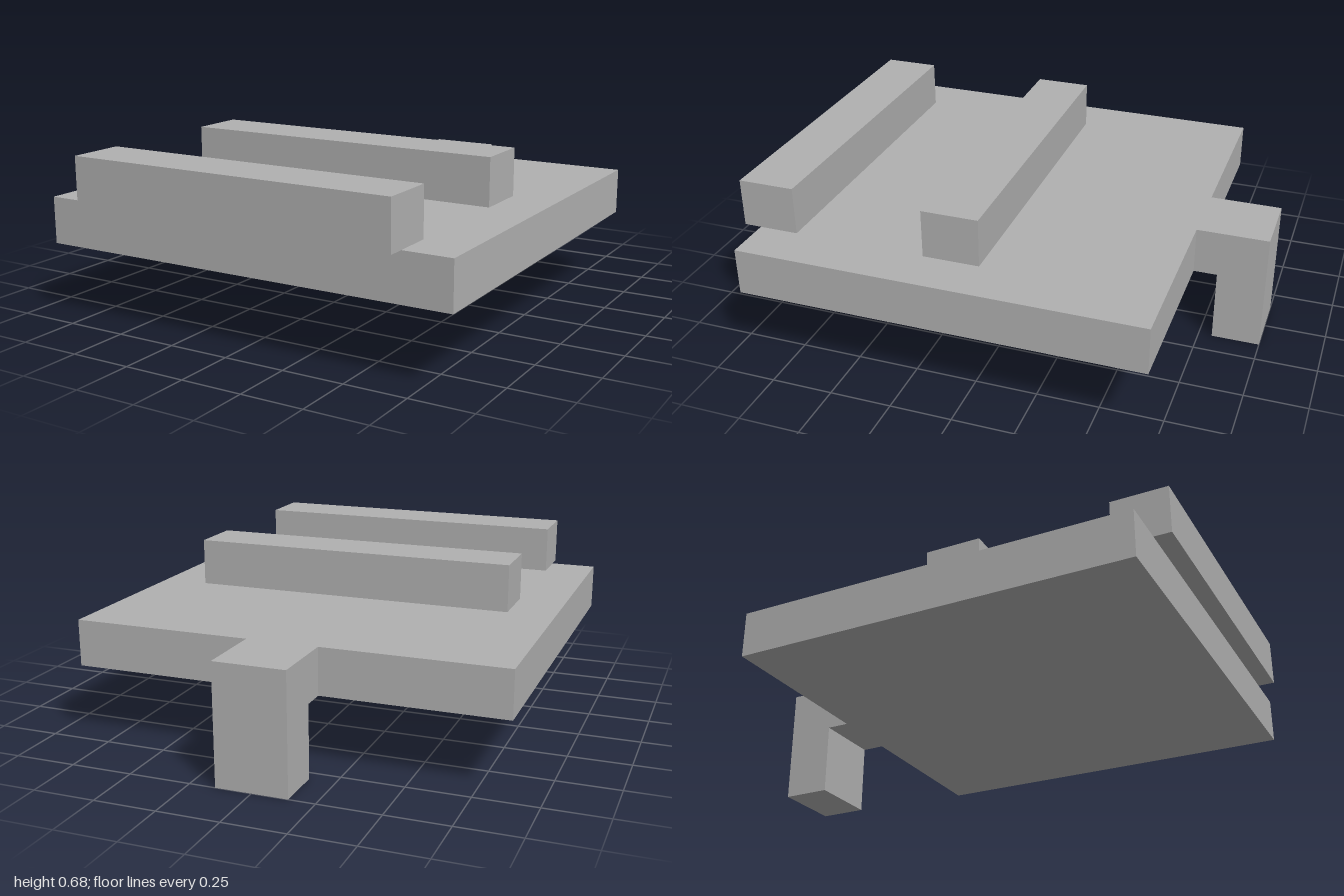
import * as THREE from 'three';

export function createModel() {
  const model = new THREE.Group();
  model.name = 'slattedPlate';
  const grey = new THREE.MeshStandardMaterial({ color: 0xb0b0b0 });
  grey.name = 'plain grey';

  // Box given by its half width and its y and z ranges
  const block = (name, halfWidth, [y0, y1], [z0, z1]) => {
    const mesh = new THREE.Mesh(new THREE.BoxGeometry(halfWidth * 2, y1 - y0, z1 - z0), grey);
    mesh.position.set(0, (y0 + y1) / 2, (z0 + z1) / 2);
    mesh.name = name;
    model.add(mesh);
  };

  const bottom = 0.295, top = 0.485, plateBack = -0.71;

  // Flat base and the two raised bars; the front bar overhangs the edge
  block('plate', 0.88, [bottom, top], [plateBack, 0.93]);
  block('frontBar', 0.685, [top, 0.68], [0.77, 1]);
  block('middleBar', 0.685, [top, 0.68], [0, 0.23]);

  // Rear tab that bends down into a leg: an L profile in z and y
  const profile = new THREE.Shape([
    [plateBack, bottom], [plateBack, top], [-1, top],
    [-1, 0], [-0.805, 0], [-0.805, bottom],
  ].map(([z, y]) => new THREE.Vector2(z, y)));
  const width = 0.29;
  const geometry = new THREE.ExtrudeGeometry(profile, { depth: width, bevelEnabled: false });
  geometry.translate(0, 0, -width / 2).rotateY(-Math.PI / 2);
  const tab = new THREE.Mesh(geometry, grey);
  tab.name = 'rearLeg';
  model.add(tab);

  return model;
}
